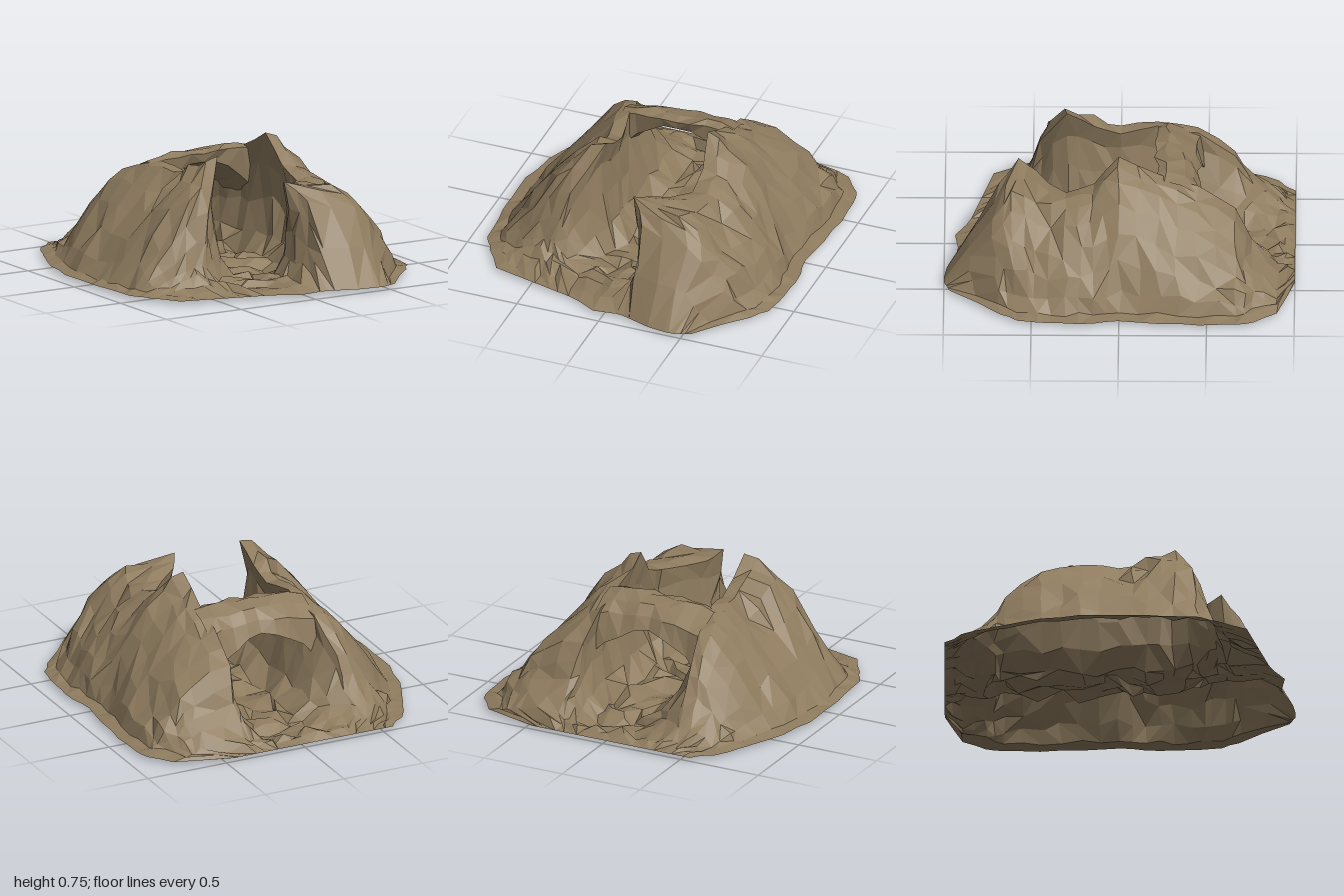
import * as THREE from 'three';

// Small seeded generator, returning -1..1
let seed = 7;
const rnd = () => {
  seed = (seed * 16807) % 2147483647;
  return (seed / 2147483647) * 2 - 1;
};
const lerp = THREE.MathUtils.lerp;
const BASE = 0.04;

// Canyon sections from back to front:
// z, left foot x, left ridge x/y, floor left x, floor right x,
// right ridge x/y, right shoulder x/y, right foot x
const SECTIONS = [
  [-1.0, -0.55, -0.35, 0.04, -0.25, 0.15, 0.25, 0.04, 0.35, 0.04, 0.45],
  [-0.9, -0.67, -0.42, 0.09, -0.22, 0.20, 0.33, 0.09, 0.58, 0.09, 0.79],
  [-0.76, -0.75, -0.42, 0.22, -0.18, 0.21, 0.33, 0.26, 0.58, 0.21, 0.88],
  [-0.66, -0.79, -0.41, 0.38, -0.16, 0.22, 0.31, 0.46, 0.56, 0.36, 0.91],
  [-0.45, -0.87, -0.36, 0.58, -0.17, 0.23, 0.29, 0.58, 0.46, 0.51, 0.92],
  [-0.22, -0.92, -0.32, 0.63, -0.17, 0.25, 0.29, 0.66, 0.42, 0.60, 0.90],
  [0.0, -0.93, -0.29, 0.62, -0.17, 0.26, 0.28, 0.76, 0.40, 0.68, 0.87],
  [0.15, -0.93, -0.28, 0.68, -0.18, 0.26, 0.31, 0.60, 0.45, 0.57, 0.90],
  [0.31, -0.91, -0.28, 0.75, -0.20, 0.22, 0.30, 0.55, 0.47, 0.53, 0.91],
  [0.48, -0.90, -0.42, 0.47, -0.28, 0.10, 0.10, 0.57, 0.40, 0.54, 0.90],
  [0.61, -0.87, -0.50, 0.19, -0.33, 0.06, 0.05, 0.61, 0.34, 0.57, 0.87],
  [0.73, -0.84, -0.50, 0.09, -0.35, 0.07, 0.14, 0.51, 0.44, 0.45, 0.81],
  [1.0, -0.73, -0.40, 0.04, -0.30, 0.05, 0.20, 0.04, 0.40, 0.04, 0.55],
];

// Irregular front edge: z of the foot at a given x
const FRONT = [[-0.95, 0.66], [-0.75, 0.72], [-0.2, 0.86], [-0.06, 0.94], [0.1, 0.92], [0.34, 1.0], [0.46, 1.0], [0.62, 0.94], [0.95, 0.88]];
function frontZ(x) {
  const i = Math.max(1, FRONT.findIndex((p) => p[0] > x));
  const [a, b] = [FRONT[i - 1], FRONT[i]];
  return lerp(a[1], b[1], (x - a[0]) / (b[0] - a[0]));
}

// Faceted sheet through rows of points, with mixed diagonals
function sheet(rows) {
  const pos = [];
  for (let j = 0; j < rows.length - 1; j++) {
    for (let i = 0; i < rows[j].length - 1; i++) {
      const a = rows[j][i], b = rows[j + 1][i], c = rows[j + 1][i + 1], d = rows[j][i + 1];
      const tris = rnd() > 0 ? [a, b, c, a, c, d] : [a, b, d, b, c, d];
      tris.forEach((p) => pos.push(p.x, p.y, p.z));
    }
  }
  const g = new THREE.BufferGeometry();
  g.setAttribute('position', new THREE.Float32BufferAttribute(pos, 3));
  g.computeVertexNormals();
  return g;
}

// One cross-section: apron, slope, ridge, canyon wall, floor, wall, ridge, slope, apron
function section(row, isEnd) {
  const [s, xL, lx, ly, fl, fr, rx, ry, px, py, xR] = row;
  const pts = [];
  const add = (x, y, n = 0.016) => pts.push({ x, y, n });
  const edge = 0.008;
  const crest = 0.02 + 0.03 * ly;
  const apron = isEnd ? 0.02 : 0.075;
  add(xL, BASE, edge);
  add(xL + apron, BASE + 0.015, edge);
  for (const [f, h] of [[0.14, 0.19], [0.34, 0.4], [0.56, 0.61], [0.8, 0.83]]) {
    add(lerp(xL + apron, lx - crest, f), lerp(BASE, ly, h), 0.008 + 0.018 * ly);
  }
  add(lx - crest, ly - 0.01, 0.01);
  add(lx + crest, ly - 0.01, 0.01);
  for (const t of [0.25, 0.55, 0.85]) {
    add(lerp(lx, fl, t) - 0.03 * Math.sin(t * Math.PI) * ly, lerp(ly, 0.08, t));
  }
  for (let i = 0; i <= 4; i++) add(lerp(fl + 0.06, fr - 0.04, i / 4), 0.055, 0.026);
  const hollow = s > 0.4 ? 0.06 : 0.08;
  for (const t of [0.85, 0.55, 0.25]) {
    add(lerp(rx, fr, t) + hollow * Math.sin(t * Math.PI) * ry, lerp(ry, 0.08, t));
  }
  add(rx, ry, 0.01);
  add((rx + px) / 2, (ry + py) / 2 + 0.01, 0.016);
  add(px, py, 0.012);
  for (const [f, h] of [[0.25, 0.85], [0.51, 0.63], [0.72, 0.41], [0.88, 0.2]]) {
    add(lerp(px, xR - apron, f), lerp(BASE, py, h), 0.008 + 0.022 * py);
  }
  add(xR - apron, BASE + 0.015, edge);
  add(xR, BASE, edge);

  return pts.map((p, i) => {
    const foot = isEnd || i === 0 || i === pts.length - 1;
    const n = foot ? edge : p.n;
    const x = p.x + rnd() * n;
    const y = foot ? BASE : Math.max(0, p.y + rnd() * n * 1.4);
    let z = s;
    if (s > 0.4) z = 0.4 + ((s - 0.4) * (frontZ(x) - 0.4)) / 0.6;
    if (!isEnd) z += rnd() * n;
    return new THREE.Vector3(x, y, THREE.MathUtils.clamp(z, -1, 1));
  });
}

// Hills and canyon floor, with one extra section between each pair
function canyonGeometry() {
  const rows = [];
  SECTIONS.forEach((row, j) => {
    rows.push(section(row, j === 0 || j === SECTIONS.length - 1));
    const next = SECTIONS[j + 1];
    if (next) rows.push(section(row.map((v, k) => (v + next[k]) / 2), false));
  });
  return sheet(rows);
}

// Natural bridge across the canyon: closed rings from wall to wall
function archGeometry() {
  const rows = [];
  for (let k = 0; k <= 8; k++) {
    const x = lerp(-0.34, 0.34, k / 8);
    const t2 = (x / 0.35) ** 2;
    const top = 0.66 + 0.03 * x - 0.03 * t2 * t2;
    const under = 0.2 * t2;
    const ring = [
      [-0.21, top - 0.015],
      [-0.27, top],
      [-0.36, top - 0.03],
      [-0.42 - 0.03 * t2, top - 0.09],
      [-0.45 - 0.05 * t2, 0.5 - under],
      [-0.36, 0.53 - under],
      [-0.23, 0.59 - under],
    ].map(([z, y]) => new THREE.Vector3(x, y + rnd() * 0.01, z + rnd() * 0.015));
    ring.push(ring[0]);
    rows.push(ring);
  }
  return sheet(rows);
}

export function createModel() {
  seed = 7;
  const rock = new THREE.MeshStandardMaterial({ color: 0x8f7c5f, flatShading: true, side: THREE.DoubleSide });
  rock.name = 'sandyRock';
  const group = new THREE.Group();
  group.name = 'rockArch';
  const add = (name, geometry) => {
    const mesh = new THREE.Mesh(geometry, rock);
    mesh.name = name;
    group.add(mesh);
  };
  add('canyonHills', canyonGeometry());
  add('naturalBridge', archGeometry());
  return group;
}
